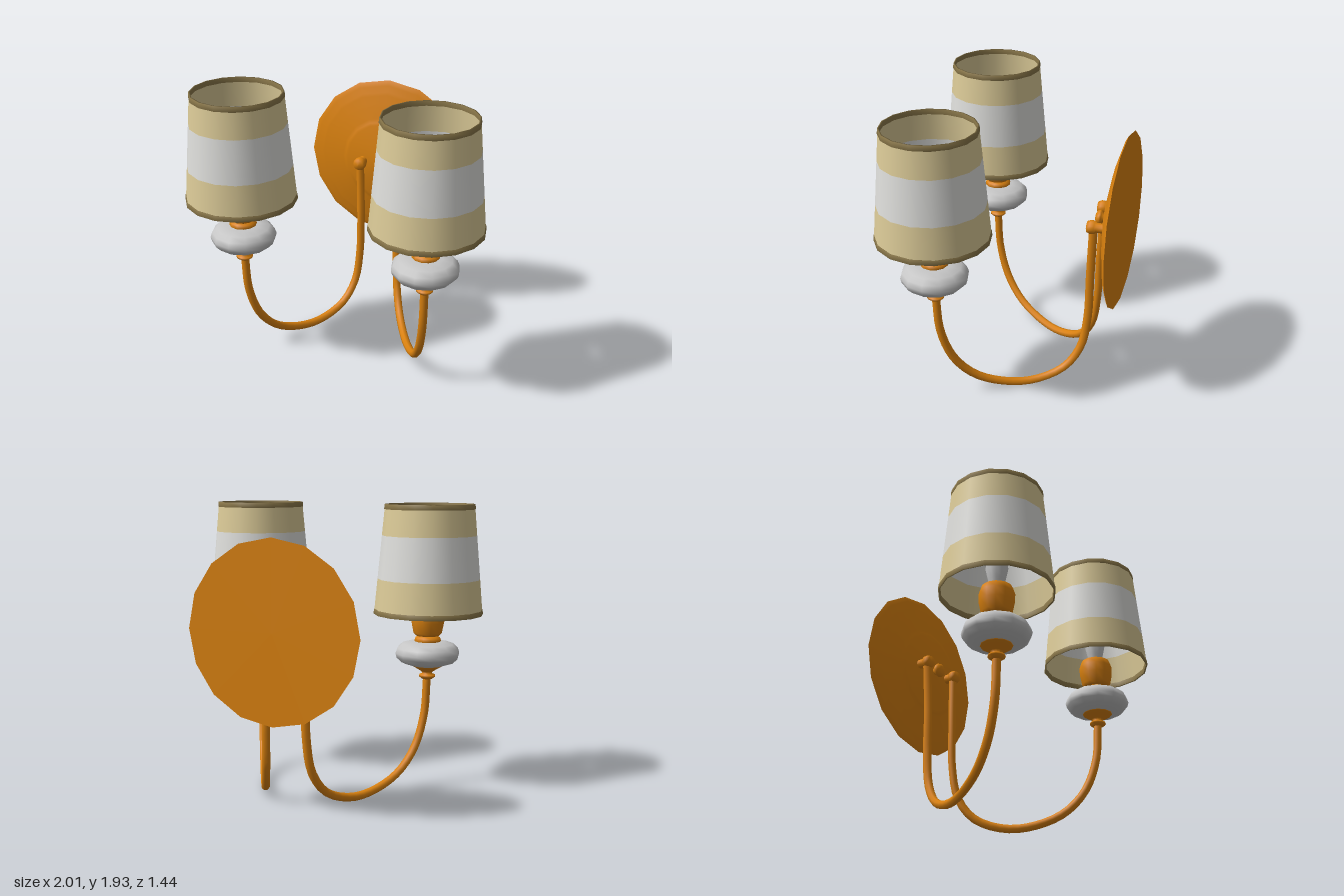
import * as THREE from 'three';

const mat = (name, color, side = THREE.FrontSide) => {
  const m = new THREE.MeshStandardMaterial({ color, side });
  m.name = name;
  return m;
};

export function createModel() {
  const brass = mat('brass', 0xdb820f);
  const ceramic = mat('ceramic', 0xc6c6c6);
  const cream = mat('shadeCream', 0xdccb98, THREE.DoubleSide);
  const white = mat('shadeWhite', 0xdfdfdc, THREE.DoubleSide);
  const trim = mat('shadeTrim', 0x8b784a, THREE.DoubleSide);

  const model = new THREE.Group();
  model.name = 'wallLamp';

  const add = (parent, name, geometry, material) => {
    const mesh = new THREE.Mesh(geometry, material);
    mesh.name = name;
    parent.add(mesh);
    return mesh;
  };
  // Turned part from [radius, height] pairs, listed bottom to top
  const turned = (parent, name, profile, sides, material) =>
    add(parent, name, new THREE.LatheGeometry(profile.map(p => new THREE.Vector2(...p)), sides), material);

  // Stepped round wall plate, turned so its axis points forward
  const plate = turned(model, 'wallPlate', [
    [0.585, 0], [0.55, 0.018], [0.505, 0.024], [0.485, 0.038], [0.43, 0.042], [0.41, 0.056],
    [0.325, 0.066], [0.3, 0.08], [0.28, 0.082], [0.15, 0.11], [0, 0.125],
  ], 16, brass);
  plate.rotation.x = Math.PI / 2;
  plate.position.set(0, 1.17, -0.722);
  const back = add(model, 'wallPlateBack', new THREE.CircleGeometry(0.585, 16, Math.PI / 2), brass);
  back.rotation.y = Math.PI;
  back.position.set(0, 1.17, -0.722);

  // Centre knob on its neck
  const knob = turned(model, 'centreKnob', [
    [0.025, 0], [0.025, 0.025], [0.046, 0.035], [0.05, 0.048], [0.044, 0.064], [0.025, 0.075], [0, 0.078],
  ], 14, brass);
  knob.rotation.x = Math.PI / 2;
  knob.position.set(0, 1.17, -0.61);

  // Shade radius at a given height
  const shadeRadius = y => 0.365 - (y - 1.2) * (0.067 / 0.73);
  const band = (parent, name, y0, y1, material) =>
    turned(parent, name, [[shadeRadius(y0), y0], [shadeRadius(y1), y1]], 16, material);
  // Rim strip folded over the edge of the shade
  const rim = (parent, name, y0, y1) => {
    const a = shadeRadius(y0), b = shadeRadius(y1);
    turned(parent, name, [
      [a - 0.007, y0], [a + 0.003, y0], [b + 0.003, y1], [b - 0.007, y1], [a - 0.007, y0],
    ], 16, trim);
  };

  for (const side of [-1, 1]) {
    const label = side > 0 ? 'left' : 'right';
    const arm = new THREE.Group();
    arm.name = label + 'Arm';
    model.add(arm);

    // Curved arm lies in a slanted plane: x follows z
    const path = [
      [0.77, 0.35], [0.5, 0.33], [0.27, 0.25], [0.11, 0.1], [0.03, -0.17], [0.1, -0.39],
      [0.25, -0.495], [0.48, -0.535], [0.8, -0.542], [1.16, -0.555],
    ].map(([y, z]) => new THREE.Vector3(
      side * (y > 1 ? 0.152 : 0.135 + (z + 0.55) * 0.555), y, z));
    add(arm, label + 'ArmTube',
      new THREE.TubeGeometry(new THREE.CatmullRomCurve3(path), 40, 0.028, 8), brass);

    // Joint where the arm meets the plate
    const joint = turned(arm, label + 'ArmJoint', [
      [0.032, 0], [0.032, 0.05], [0.044, 0.06], [0.046, 0.09], [0.036, 0.112], [0, 0.116],
    ], 12, brass);
    joint.rotation.x = Math.PI / 2;
    joint.position.set(side * 0.152, 1.17, -0.625);

    const lamp = new THREE.Group();
    lamp.name = label + 'Lamp';
    lamp.position.set(side * 0.635, 0, 0.35);
    model.add(lamp);

    // Collar and cup beneath the ceramic ring
    turned(lamp, 'lowerCollar', [
      [0, 0.75], [0.035, 0.752], [0.056, 0.768], [0.054, 0.78], [0.032, 0.79],
      [0.042, 0.805], [0.1, 0.84], [0.11, 0.86], [0, 0.86],
    ], 12, brass);
    turned(lamp, 'ceramicRing', [
      [0, 0.845], [0.11, 0.845], [0.18, 0.868], [0.212, 0.9], [0.22, 0.93],
      [0.208, 0.965], [0.175, 0.995], [0.11, 1.01], [0, 1.012],
    ], 12, ceramic);
    turned(lamp, 'upperCollar', [[0.08, 1.0], [0.092, 1.015], [0.085, 1.035], [0.06, 1.05], [0, 1.05]], 12, brass);
    turned(lamp, 'socket', [
      [0, 1.045], [0.08, 1.05], [0.098, 1.07], [0.112, 1.14], [0.115, 1.2], [0.1, 1.245], [0.07, 1.26], [0, 1.26],
    ], 12, brass);
    turned(lamp, 'bulb', [
      [0.045, 1.255], [0.055, 1.3], [0.072, 1.38], [0.066, 1.44], [0.04, 1.53], [0, 1.6],
    ], 12, ceramic);

    // Banded tapered shade
    const shade = new THREE.Group();
    shade.name = label + 'Shade';
    lamp.add(shade);
    rim(shade, 'bottomTrim', 1.197, 1.23);
    band(shade, 'lowerBand', 1.225, 1.435, cream);
    band(shade, 'middleBand', 1.435, 1.725, white);
    band(shade, 'upperBand', 1.725, 1.905, cream);
    rim(shade, 'topTrim', 1.898, 1.932);
  }
  return model;
}
